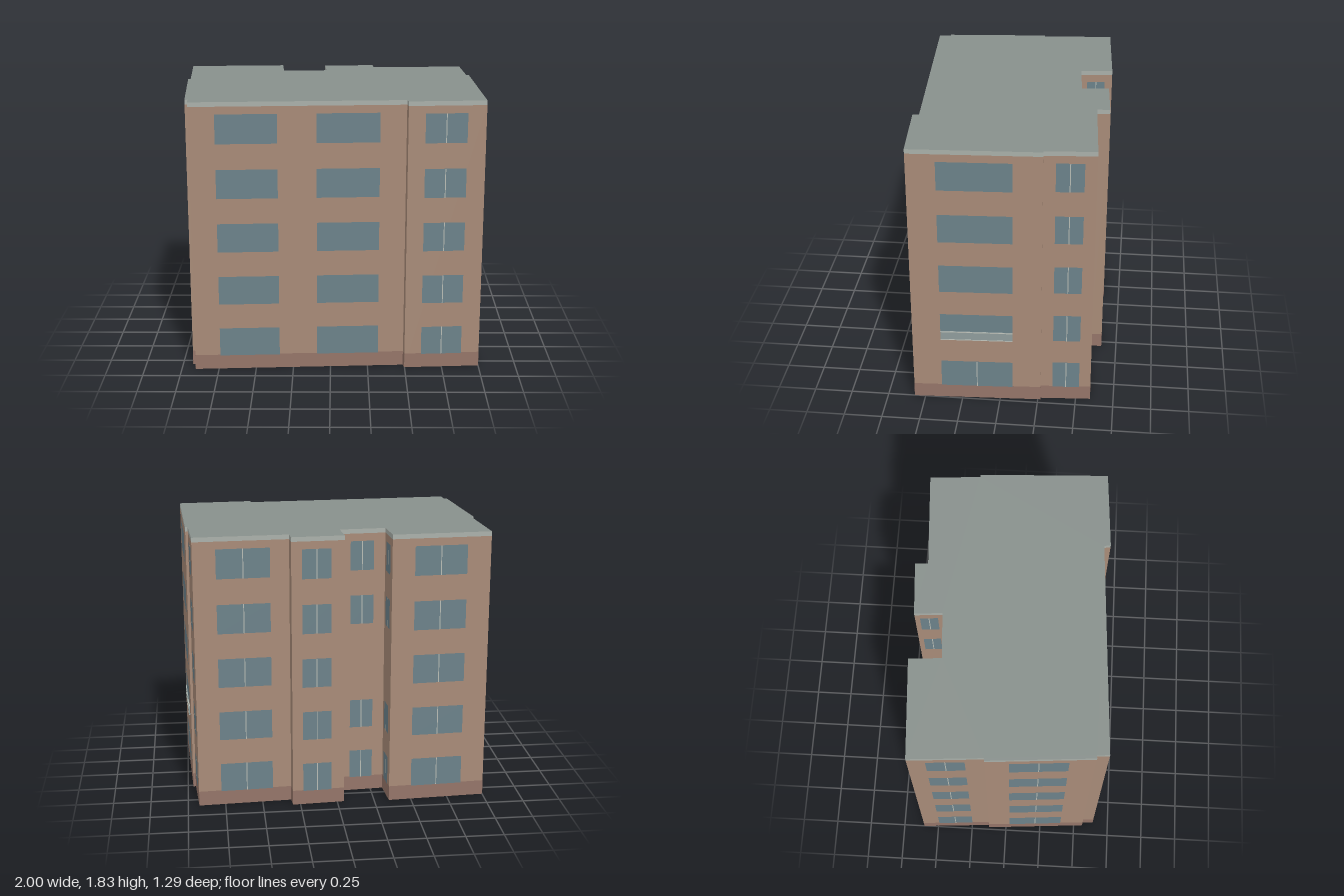
import * as THREE from 'three';

const mat = (color) => new THREE.MeshStandardMaterial({ color, side: THREE.DoubleSide });

const WALL_TOP = 1.8, TOP = 1.83, PLINTH = 0.1;
const FLOORS = 5, PITCH = 0.365, SILL = 0.095, WINDOW_H = 0.195;

// Footprint corners [x, z], walked so that each wall's outside is on its local +z.
// Optional third entry describes the wall that starts at this corner:
// windows as [start, end] fractions, mullion floors, floors left blank, balcony floor.
const ALL = [0, 1, 2, 3, 4];
const OUTLINE = [
  [-0.907, 0.64, { windows: [[0.12, 0.405], [0.585, 0.878]] }],
  [0.49, 0.563],
  [0.498, 0.605, { windows: [[0.22, 0.76]], mullions: ALL }],
  [1.0, 0.572, { windows: [[0.22, 0.78]], mullions: [0], balcony: 1 }],
  [0.963, -0.268],
  [0.946, -0.267, { windows: [[0.235, 0.77]], mullions: ALL }],
  [0.925, -0.596, { windows: [[0.24, 0.8]], mullions: ALL }],
  [0.306, -0.563],
  [0.3, -0.647, { windows: [[0.2, 0.75]], mullions: ALL }],
  [-0.045, -0.626, { windows: [[0.18, 0.82]], mullions: ALL, blank: 2 }],
  [-0.032, -0.447, { windows: [[0.24, 0.75]], mullions: ALL, blank: 2 }],
  [-0.335, -0.427, { windows: [[0.2, 0.76]], mullions: ALL, blank: 2 }],
  [-0.35, -0.639, { windows: [[0.23, 0.76]], mullions: ALL }],
  [-1.0, -0.603, { windows: [[0.24, 0.75]], mullions: ALL }],
  [-0.967, -0.127],
  [-0.984, -0.125, { windows: [[0.22, 0.76]], mullions: ALL }],
  [-0.932, 0.562],
  [-0.912, 0.56],
];

export function createModel() {
  const model = new THREE.Group();
  model.name = 'apartmentBlock';

  const brick = mat(0xa88b78);
  const plinth = mat(0x957569);
  const coping = mat(0xaab0aa);
  const glass = mat(0x6c828a);
  const frame = mat(0xb9bdb5);
  const panelGlass = mat(0x8f9d9c);
  const roofing = mat(0x88908c);

  // Flat panel in wall space: x along the wall, y up, z outward.
  const panel = (parent, name, x0, x1, y0, y1, z, material) => {
    const mesh = new THREE.Mesh(new THREE.PlaneGeometry(x1 - x0, y1 - y0), material);
    mesh.position.set((x0 + x1) / 2, (y0 + y1) / 2, z);
    mesh.name = name;
    parent.add(mesh);
  };

  // Thin box in wall space, standing out from the wall by depth.
  const bar = (parent, name, x0, x1, y0, y1, depth, material) => {
    const mesh = new THREE.Mesh(new THREE.BoxGeometry(x1 - x0, y1 - y0, depth), material);
    mesh.position.set((x0 + x1) / 2, (y0 + y1) / 2, depth / 2);
    mesh.name = name;
    parent.add(mesh);
  };

  OUTLINE.forEach(([x, z, spec = {}], i) => {
    const [nx, nz] = OUTLINE[(i + 1) % OUTLINE.length];
    const length = Math.hypot(nx - x, nz - z);
    const wall = new THREE.Group();
    wall.name = 'wall' + (i + 1);
    wall.position.set(x, 0, z);
    wall.rotation.y = Math.atan2(z - nz, nx - x);
    model.add(wall);

    // Wall face, plinth band and coping strip
    panel(wall, 'wallFace', 0, length, 0, WALL_TOP, 0, brick);
    panel(wall, 'plinthBand', 0, length, 0, PLINTH, 0.001, plinth);
    panel(wall, 'copingStrip', 0, length, WALL_TOP, TOP, 0, coping);

    // Window grid
    const { windows = [], mullions = [], blank, balcony } = spec;
    for (const [t0, t1] of windows) {
      const a = t0 * length, b = t1 * length, mid = (a + b) / 2;
      for (let floor = 0; floor < FLOORS; floor++) {
        if (floor === blank) continue;
        const y = SILL + floor * PITCH;
        panel(wall, 'window', a, b, y, y + WINDOW_H, 0.002, glass);
        if (mullions.includes(floor)) {
          panel(wall, 'mullion', mid - 0.003, mid + 0.003, y, y + WINDOW_H, 0.003, frame);
        }
        // Shallow balcony guard with top and bottom rails
        if (floor === balcony) {
          bar(wall, 'balconyPanel', a, b, y, y + 0.065, 0.007, panelGlass);
          bar(wall, 'balconyBottomRail', a, b, y, y + 0.006, 0.009, frame);
          bar(wall, 'balconyTopRail', a, b, y + 0.059, y + 0.065, 0.009, frame);
        }
      }
    }
  });

  // Flat roof over the footprint
  const shape = new THREE.Shape(OUTLINE.map(([x, z]) => new THREE.Vector2(x, -z)));
  const roof = new THREE.Mesh(new THREE.ShapeGeometry(shape), roofing);
  roof.rotation.x = -Math.PI / 2;
  roof.position.y = TOP;
  roof.name = 'roof';
  model.add(roof);

  return model;
}
